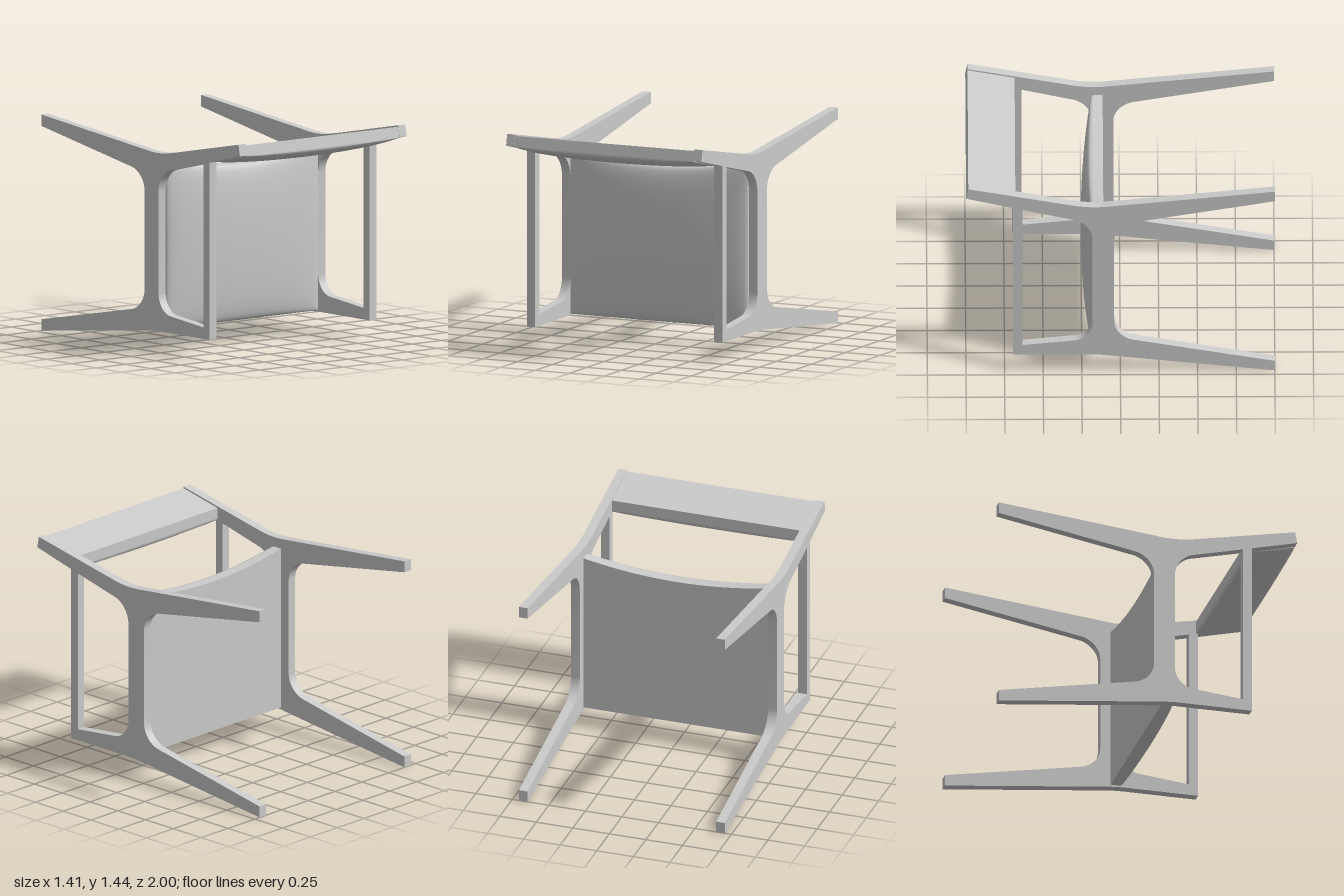
import * as THREE from 'three';
import { toCreasedNormals } from 'three/addons/utils/BufferGeometryUtils.js';

const material = new THREE.MeshStandardMaterial({ color: 0xcccccc });
const INNER = 0.645, OUTER = 0.705;

function part(name, geometry, crease = 0.5) {
  const mesh = new THREE.Mesh(toCreasedNormals(geometry, crease), material);
  mesh.name = name;
  return mesh;
}

// Rounds a corner at (cx, cy) from the current point to (x, y)
function fillet(path, cx, cy, x, y) {
  const p = path.currentPoint, k = 0.56;
  path.bezierCurveTo(p.x + (cx - p.x) * k, p.y + (cy - p.y) * k,
    x + (cx - x) * k, y + (cy - y) * k, x, y);
}

// Extrudes a (z, y) profile along x, from x1 down to x0
function extrudeAcross(shape, x0, x1) {
  const g = new THREE.ExtrudeGeometry(shape, { depth: x1 - x0, bevelEnabled: false, curveSegments: 12 });
  return g.rotateY(-Math.PI / 2).translate(x1, 0, 0);
}

// Side frame: both legs, seat rail, front strut and back arm in one piece
function sideFrameShape() {
  const s = new THREE.Shape();
  s.moveTo(1.0, 1.365);
  s.lineTo(0.985, 1.44);
  s.lineTo(0.3, 1.307);
  s.quadraticCurveTo(0.18, 1.285, 0.05, 1.303);
  s.lineTo(-1, 1.415);
  s.lineTo(-1, 1.34);
  s.lineTo(-0.09, 1.176);
  fillet(s, 0.04, 1.153, 0.04, 1.03);
  s.lineTo(0.04, 0.39);
  fillet(s, 0.04, 0.267, -0.09, 0.244);
  s.lineTo(-1, 0.075);
  s.lineTo(-1, 0);
  s.lineTo(0.1, 0.124);
  s.quadraticCurveTo(0.15, 0.13, 0.22, 0.13);
  s.lineTo(0.695, 0.13);
  s.lineTo(0.695, 1.29);

  const h = new THREE.Path();
  h.moveTo(0.635, 1.275);
  h.lineTo(0.3, 1.195);
  fillet(h, 0.18, 1.165, 0.18, 1.04);
  h.lineTo(0.18, 0.38);
  fillet(h, 0.18, 0.252, 0.3, 0.24);
  h.lineTo(0.635, 0.205);
  h.closePath();
  s.holes.push(h);
  return s;
}

// Domed pad over u, v in -1..1, with a low upright lip all round
function pad(lip, dome, place) {
  const n = 34;
  const g = new THREE.PlaneGeometry(2, 2, n, n);
  const pos = g.attributes.position;
  const spread = (i) => -Math.cos(Math.PI * THREE.MathUtils.clamp(i - 1, 0, n - 2) / (n - 2));
  for (let k = 0; k < pos.count; k++) {
    const i = k % (n + 1), j = n - Math.floor(k / (n + 1));
    const u = spread(i), v = spread(j);
    const rim = i === 0 || j === 0 || i === n || j === n;
    const rise = Math.sqrt(Math.max(0, 1 - u * u)) * Math.pow(Math.max(0, 1 - v * v), 0.32);
    pos.setXYZ(k, ...place(u, v, rim ? 0 : lip + dome * rise));
  }
  return g;
}

export function createModel() {
  const model = new THREE.Group();
  model.name = 'chair';

  // Side frames
  const frame = sideFrameShape();
  model.add(part('leftSideFrame', extrudeAcross(frame, INNER, OUTER)));
  model.add(part('rightSideFrame', extrudeAcross(frame, -OUTER, -INNER)));

  // Seat board with a dished edge
  const seat = new THREE.Shape();
  seat.moveTo(-INNER, 0.14);
  seat.lineTo(INNER, 0.14);
  seat.lineTo(INNER, 1.23);
  seat.quadraticCurveTo(0, 1.1, -INNER, 1.23);
  seat.closePath();
  const board = new THREE.ExtrudeGeometry(seat, { depth: 0.06, bevelEnabled: false, curveSegments: 32 });
  model.add(part('seatBoard', board.translate(0, 0, 0.11)));

  // Seat cushion follows the same outline
  model.add(part('seatCushion', pad(0.01, 0.075, (u, v, h) => {
    const top = 1.165 + 0.065 * u * u;
    return [0.643 * u, THREE.MathUtils.lerp(0.14, top, (v + 1) / 2), 0.17 + h];
  }), 0.8));

  // Backrest board between the arms
  const back = new THREE.Shape([[0.985, 1.43], [0.68, 1.369], [0.68, 1.298], [0.997, 1.37]]
    .map(([z, y]) => new THREE.Vector2(z, y)));
  model.add(part('backrestBoard', extrudeAcross(back, -INNER, INNER)));

  // Backrest cushion on the board's inner face
  model.add(part('backrestCushion', pad(0.01, 0.042, (u, v, h) =>
    [0.643 * u, 1.334 + 0.036 * v - 0.975 * h, 0.838 + 0.158 * v + 0.22 * h]), 0.8));

  return model;
}
